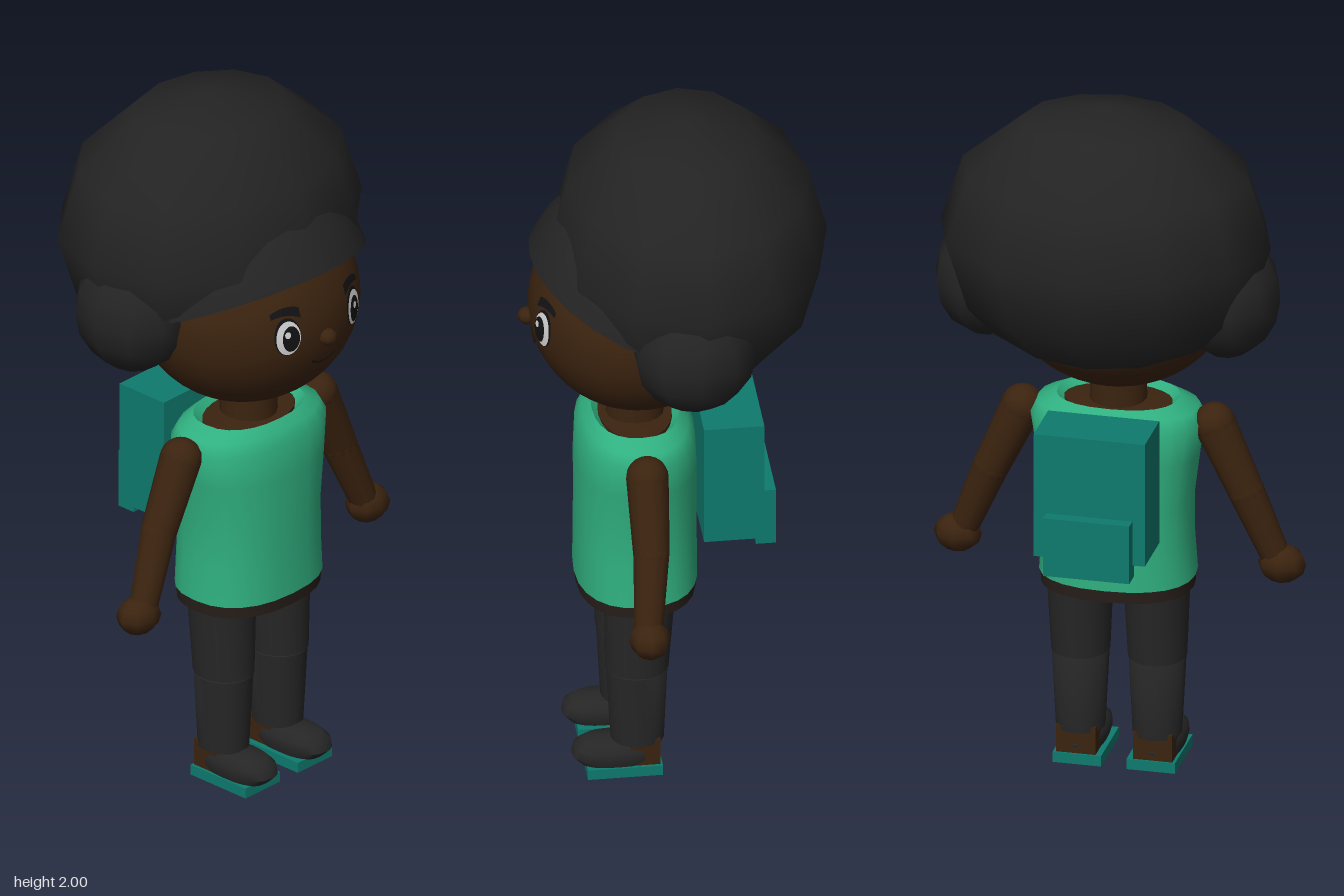
import * as THREE from 'three';
import { toCreasedNormals } from 'three/addons/utils/BufferGeometryUtils.js';

const paint = (name, color) => {
  const m = new THREE.MeshStandardMaterial({ color });
  m.name = name;
  return m;
};

export function createModel() {
  const skin = paint('skin', 0x3b230f), hairBlack = paint('hair black', 0x232323);
  const trousers = paint('trouser black', 0x262626), green = paint('shirt green', 0x30b080);
  const teal = paint('bag teal', 0x0e7a6e), white = paint('eye white', 0xd8d8d8);
  const ink = paint('eye black', 0x121214), mouthBrown = paint('mouth brown', 0x1c0f06);
  const waist = paint('waistband', 0x261d18);
  hairBlack.side = green.side = THREE.DoubleSide;

  const model = new THREE.Group();
  const add = (name, geo, mat, x = 0, y = 0, z = 0, parent = model) => {
    const m = new THREE.Mesh(geo, mat);
    m.name = name;
    m.position.set(x, y, z);
    parent.add(m);
    return m;
  };
  const ball = (rx, ry, rz, w = 16, h = 12) => new THREE.SphereGeometry(1, w, h).scale(rx, ry, rz);

  // Move every vertex by a rule that edits the vector
  const bend = (geo, rule) => {
    const p = geo.attributes.position, v = new THREE.Vector3();
    for (let i = 0; i < p.count; i++) {
      v.fromBufferAttribute(p, i);
      rule(v, i);
      p.setXYZ(i, v.x, v.y, v.z);
    }
    geo.computeVertexNormals();
    return geo;
  };

  // Stacked oval sections [y, rx, rz, cx, cz] from bottom to top
  const loft = (rows, power = 1, segs = 24) => {
    const geo = new THREE.LatheGeometry(rows.map(r => new THREE.Vector2(1, r[0])), segs);
    bend(geo, (v, i) => {
      const [, rx, rz, cx = 0, cz = 0.1] = rows[i % rows.length];
      const round = t => Math.sign(t) * Math.abs(t) ** power;
      v.x = cx + rx * round(v.x);
      v.z = cz + rz * round(v.z);
    });
    return toCreasedNormals(geo, 0.8);
  };

  // Round bar between two points
  const limb = (name, a, b, ra, rb, mat, parent) => {
    const from = new THREE.Vector3(...a), to = new THREE.Vector3(...b);
    const dir = to.clone().sub(from);
    const m = add(name, new THREE.CylinderGeometry(rb, ra, dir.length(), 12), mat, 0, 0, 0, parent);
    m.position.copy(from).add(to).multiplyScalar(0.5);
    m.quaternion.setFromUnitVectors(new THREE.Vector3(0, 1, 0), dir.normalize());
  };

  // Head, neck and nose
  const H = { y: 1.42, z: 0.095, rx: 0.32, ry: 0.285, rz: 0.295 };
  add('head', ball(H.rx, H.ry, H.rz, 40, 28), skin, 0, H.y, H.z);
  add('neck', new THREE.CylinderGeometry(0.075, 0.08, 0.16, 16), skin, 0, 1.13, 0.1);
  add('nose', ball(0.027, 0.024, 0.026, 8, 6), skin, 0, 1.4, 0.395);

  // Face details wrapped onto the front of the head
  const faceZ = (x, y) => H.z + H.rz * Math.sqrt(1 - (x / H.rx) ** 2 - ((y - H.y) / H.ry) ** 2);
  const wrap = (geo, x, y, lift) => bend(geo, v => {
    v.x += x;
    v.y += y;
    v.z = faceZ(v.x, v.y) + lift;
  });
  const disc = (rx, ry) => new THREE.RingGeometry(0, 1, 24, 3).scale(rx, ry, 1);
  for (const s of [-1, 1]) {
    const x = s * 0.128;
    add('eyeRim', wrap(disc(0.037, 0.055), x, 1.437, 0.004), ink);
    add('eyeWhite', wrap(disc(0.034, 0.05), x, 1.434, 0.007), white);
    add('pupil', wrap(disc(0.024, 0.038), x - s * 0.004, 1.433, 0.011), ink);
    add('eyeGlint', wrap(disc(0.008, 0.01), x - 0.008, 1.448, 0.015), white);
    const brow = bend(new THREE.PlaneGeometry(0.08, 0.022, 8, 1), v => {
      v.y = v.y * (1 - s * v.x * 8) - 6 * v.x * v.x;
    });
    add('eyebrow', wrap(brow, x, 1.51, 0.007), ink);
  }
  const smile = [-0.045, -0.022, 0, 0.022, 0.045].map(x => {
    const y = 1.322 + 7 * x * x;
    return new THREE.Vector3(x, y, faceZ(x, y) + 0.001);
  });
  add('mouth', new THREE.TubeGeometry(new THREE.CatmullRomCurve3(smile), 16, 0.004, 6), mouthBrown);

  // Rounded hair shell trimmed along the sloping plane y = base + slope * z
  const hairShell = (cy, cz, rx, ry, rz, base, slope, w, h) => {
    const geo = new THREE.SphereGeometry(1, w, h);
    bend(geo, (v, i) => {
      const phi = (i % (w + 1)) / w * Math.PI * 2, row = Math.floor(i / (w + 1));
      const lean = slope * rz * Math.cos(phi);
      const level = base + slope * cz - cy;
      const limit = Math.acos(level / Math.hypot(ry, lean)) - Math.atan2(lean, ry);
      const t = Math.min(row / h * Math.PI, limit);
      if (row === h) v.set(0, cy + level, cz);
      else v.set(rx * Math.sin(t) * Math.sin(phi), cy + ry * Math.cos(t), cz + rz * Math.sin(t) * Math.cos(phi));
    });
    return toCreasedNormals(geo, 0.9);
  };
  add('hair', hairShell(1.62, -0.045, 0.46, 0.38, 0.38, 1.435, 0.45, 12, 6), hairBlack);
  add('fringe', hairShell(1.42, 0.09, 0.365, 0.38, 0.335, 1.42, 0.45, 24, 14), hairBlack);
  for (const s of [-1, 1]) add('hairPuff', ball(0.145, 0.17, 0.17, 10, 8), hairBlack, s * 0.335, 1.46, -0.02);

  // Sleeveless shirt with an open neckline, over the chest and hips
  add('shirt', loft([
    [0.57, 0.215, 0.167], [0.68, 0.207, 0.166], [0.8, 0.207, 0.165], [0.93, 0.224, 0.165],
    [1.03, 0.24, 0.16], [1.065, 0.222, 0.142], [1.088, 0.168, 0.118], [1.06, 0.14, 0.095],
  ], 0.85), green);
  add('chest', loft([[1.0, 0.15, 0.1], [1.072, 0.15, 0.1], [1.085, 0.001, 0.001]]), skin);
  add('waistband', loft([[0.535, 0.21, 0.162], [0.575, 0.211, 0.163]], 0.85), waist);
  add('hips', loft([[0.537, 0.001, 0.001], [0.537, 0.208, 0.16], [0.57, 0.208, 0.16]], 0.85), skin);

  // Arms, legs and shoes
  for (const s of [-1, 1]) {
    const arm = new THREE.Group();
    arm.name = s > 0 ? 'leftArm' : 'rightArm';
    model.add(arm);
    const shoulder = [s * 0.268, 1.025, 0.1], elbow = [s * 0.355, 0.835, 0.1], wrist = [s * 0.435, 0.64, 0.118];
    add('shoulder', ball(0.058, 0.058, 0.058), skin, ...shoulder, arm);
    limb('upperArm', shoulder, elbow, 0.058, 0.05, skin, arm);
    add('elbow', ball(0.05, 0.05, 0.05), skin, ...elbow, arm);
    limb('forearm', elbow, wrist, 0.05, 0.04, skin, arm);
    add('hand', ball(0.067, 0.054, 0.056, 8, 6), skin, s * 0.452, 0.622, 0.117, arm);

    const leg = new THREE.Group();
    leg.name = s > 0 ? 'leftLeg' : 'rightLeg';
    model.add(leg);
    const x = s * 0.107;
    add('thigh', loft([[0.322, 0.001, 0.001, x], [0.322, 0.08, 0.087, x, 0.108], [0.57, 0.092, 0.098, x]]), trousers, 0, 0, 0, leg);
    add('shin', loft([
      [0.095, 0.001, 0.001, x], [0.095, 0.067, 0.073, x, 0.107],
      [0.318, 0.078, 0.084, x, 0.108], [0.335, 0.06, 0.06, x, 0.095],
    ]), trousers, 0, 0, 0, leg);
    add('heel', new THREE.BoxGeometry(0.11, 0.085, 0.08), skin, x, 0.067, 0.09, leg);
    add('shoeUpper', loft([
      [0.028, 0.058, 0.1, x, 0.165], [0.05, 0.064, 0.119, x, 0.167], [0.075, 0.062, 0.113, x, 0.167],
      [0.094, 0.045, 0.09, x, 0.165], [0.1, 0.001, 0.001, x, 0.165],
    ], 0.75), trousers, 0, 0, 0, leg);
    add('sole', new THREE.BoxGeometry(0.135, 0.03, 0.205), teal, x - s * 0.004, 0.015, 0.147, leg);
  }

  // Backpack
  add('backpack', new THREE.BoxGeometry(0.31, 0.36, 0.165), teal, 0, 0.91, -0.152);
  add('backpackPocket', new THREE.BoxGeometry(0.24, 0.17, 0.055), teal, 0, 0.775, -0.243);
  return model;
}
